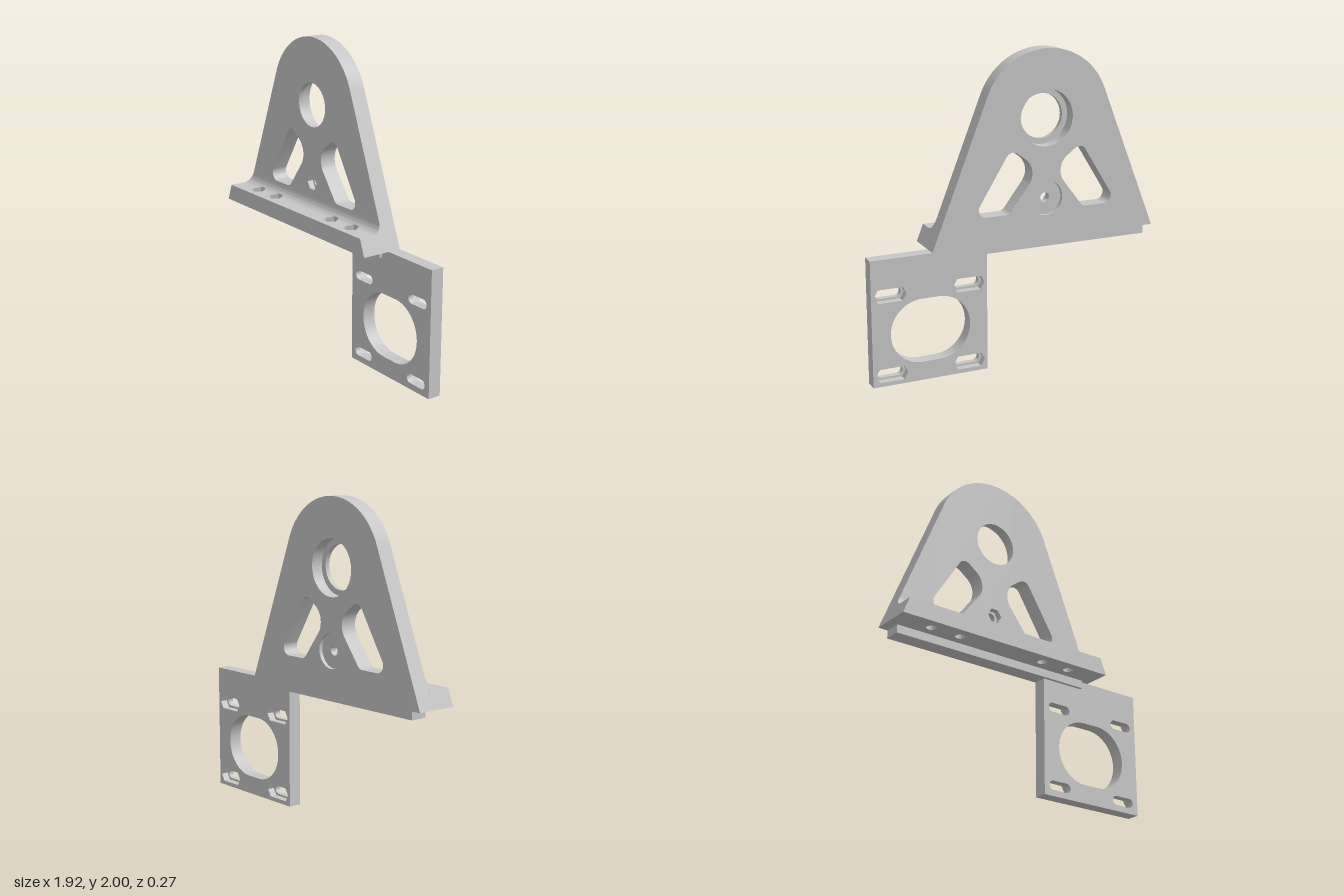
import * as THREE from 'three';
import { toCreasedNormals } from 'three/addons/utils/BufferGeometryUtils.js';

const BACK = -0.135, FRONT = 0.135, PLATE_FRONT = -0.028, MOTOR_FRONT = -0.049;
const BASE = 0.808, CX = -0.198, SLOPE = 0.391;
const leftX = y => -0.958 + (y - BASE) * SLOPE;
const rightX = y => 0.562 - (y - BASE) * SLOPE;
const vec = (x, y) => new THREE.Vector2(x, y);

// Collects faces and walls; `map` turns (x, y, height) into model space
function sheetBuilder(map = (x, y, h) => [x, y, h]) {
  const pos = [];
  const tri = (a, b, c) => pos.push(...a, ...b, ...c);
  const quad = (a, b, c, d, flip) => {
    if (flip) [b, d] = [d, b];
    tri(a, b, c); tri(a, c, d);
  };
  // Flat face with holes at height h, facing dir
  const face = (outer, holes, h, dir) => {
    const all = [outer, ...holes].flat();
    for (const [i, j, k] of THREE.ShapeUtils.triangulateShape(outer.slice(), holes.map(p => p.slice()))) {
      const s = THREE.ShapeUtils.area([all[i], all[j], all[k]]) * dir;
      const [a, b, c] = (s > 0 ? [i, j, k] : [i, k, j]).map(n => map(all[n].x, all[n].y, h));
      tri(a, b, c);
    }
  };
  // Wall along a counter-clockwise loop
  const wall = (pts, h0, h1, inward) => pts.forEach((p, i) => {
    const q = pts[(i + 1) % pts.length];
    quad(map(p.x, p.y, h0), map(q.x, q.y, h0), map(q.x, q.y, h1), map(p.x, p.y, h1), inward);
  });
  const build = () => {
    const g = new THREE.BufferGeometry();
    g.setAttribute('position', new THREE.Float32BufferAttribute(pos, 3));
    return toCreasedNormals(g, 0.5);
  };
  return { quad, face, wall, build };
}

// Circle, hexagon or slot, stretched by `half` along x
function slot(cx, cy, half, r, n) {
  return Array.from({ length: n }, (_, i) => {
    const a = (i + (n > 6 ? 0.5 : 0)) / n * Math.PI * 2, c = Math.cos(a);
    return vec(cx + r * c + Math.sign(c) * half, cy + r * Math.sin(a));
  });
}

// Polygon with a rounded corner at each [x, y, radius], counter-clockwise
function roundedPolygon(corners) {
  const v = corners.map(c => vec(c[0], c[1])), out = [], n = v.length;
  v.forEach((p, i) => {
    const r = corners[i][2];
    const u = v[(i + n - 1) % n].clone().sub(p).normalize();
    const w = v[(i + 1) % n].clone().sub(p).normalize();
    const half = Math.acos(u.dot(w)) / 2;
    const mid = u.clone().add(w).normalize().multiplyScalar(r / Math.sin(half)).add(p);
    const start = p.clone().addScaledVector(u, r / Math.tan(half)).sub(mid).angle();
    const sweep = Math.PI - 2 * half;
    for (let k = 0; k <= 10; k++) {
      const a = start + sweep * k / 10;
      out.push(vec(mid.x + r * Math.cos(a), mid.y + r * Math.sin(a)));
    }
  });
  return out;
}

// Plate whose holes may change outline at the depths given by their steps
function plate(outline, holes, z0, z1, drawFace = (b, loops, z, dir) => b.face(outline, loops, z, dir)) {
  const b = sheetBuilder();
  drawFace(b, holes.map(h => h.front), z1, 1);
  drawFace(b, holes.map(h => h.back ?? h.front), z0, -1);
  b.wall(outline, z0, z1, false);
  for (const { front, back = front, steps = [] } of holes) {
    let loop = back, z = z0;
    for (const [next, zn] of steps) {
      b.wall(loop, z, zn, true);
      const grows = THREE.ShapeUtils.area(next) > THREE.ShapeUtils.area(loop);
      if (grows) b.face(next, [loop], zn, 1);
      else b.face(loop, [next], zn, -1);
      loop = next; z = zn;
    }
    b.wall(loop, z, z1, true);
  }
  return b.build();
}

const mirror = pts => pts.map(p => vec(2 * CX - p.x, p.y)).reverse();

// Right half of a loop straddling the centre line, from top to bottom
function rightSide(loop) {
  const ys = loop.map(p => p.y);
  const half = loop.filter(p => p.x > CX + 1e-6).sort((p, q) => q.y - p.y);
  return [vec(CX, Math.max(...ys)), ...half, vec(CX, Math.min(...ys))];
}

function uprightGeometry() {
  const outline = [vec(leftX(BASE), BASE), vec(rightX(BASE), BASE)];
  const tilt = Math.atan(SLOPE);
  for (let i = 0; i <= 40; i++) {
    const a = tilt + (Math.PI - 2 * tilt) * i / 40;
    outline.push(vec(CX + 0.425 * Math.cos(a), 1.575 + 0.425 * Math.sin(a)));
  }
  const leftWindow = roundedPolygon([[-0.693, 0.988, 0.05], [-0.452, 0.988, 0.05], [-0.247, 1.258, 0.115], [-0.439, 1.399, 0.05]]);
  const rightWindow = mirror(leftWindow);
  const bore = slot(CX, 1.572, 0, 0.141, 64);
  const hex = slot(CX, 1.067, 0, 0.05, 6), pin = slot(CX, 1.067, 0, 0.03, 32);
  // Each face is made of two mirrored halves
  const drawFace = (b, [window, , ...centred], z, dir) => {
    const half = [...rightSide(outline).reverse(), ...centred.flatMap(rightSide)];
    b.face(half, [window], z, dir);
    b.face(mirror(half), [mirror(window)], z, dir);
  };
  return plate(outline, [
    { front: rightWindow }, { front: leftWindow },
    { front: bore, back: slot(CX, 1.572, 0, 0.177, 64), steps: [[bore, -0.057]] },
    { front: hex, back: slot(CX, 1.067, 0, 0.11, 48), steps: [[pin, -0.11], [hex, -0.068]] },
  ], BACK, PLATE_FRONT, drawFace);
}

function motorPlateGeometry() {
  const outline = [vec(0.205, 0), vec(0.958, 0), vec(0.958, BASE), vec(0.205, BASE)];
  const holes = [{ front: slot(0.58, 0.324, 0.054, 0.205, 64) }];
  for (const x of [0.326, 0.836]) for (const y of [0.069, 0.578]) {
    const front = slot(x, y, 0.053, 0.03, 32);
    holes.push({ front, back: slot(x, y, 0.053, 0.05, 6), steps: [[front, -0.087]] });
  }
  return plate(outline, holes, BACK, MOTOR_FRONT);
}

function footGeometry() {
  const top = 0.915, r = 0.07, zFillet = PLATE_FRONT + r, floor = 0.868;
  const hexZ = 0.052, hexR = 0.05, apothem = hexR * Math.sqrt(3) / 2;
  const centres = [-0.712, -0.507, 0.113, 0.318];
  const height = z => z >= zFillet ? top : top + r - Math.sqrt(Math.max(0, r * r - (zFillet - z) ** 2));
  const b = sheetBuilder((x, y, h) => [x, h, -y]);

  // Rows across the depth, closer together along the fillet
  const rows = [hexZ - apothem, hexZ, hexZ + apothem, FRONT];
  for (let i = 0; i <= 12; i++) rows.push(zFillet - r * Math.cos(i / 12 * Math.PI / 2));
  rows.sort((p, q) => p - q);

  // Strip standing between two depths, facing -x, or +x if flipped
  const side = (xAt, y0, za, zb, flip) => b.quad(
    [xAt(y0, za), y0, za], [xAt(y0, zb), y0, zb],
    [xAt(height(zb), zb), height(zb), zb], [xAt(height(za), za), height(za), za], flip);

  for (let i = 0; i + 1 < rows.length; i++) {
    const za = rows[i], zb = rows[i + 1], ya = height(za), yb = height(zb);
    const cut = Math.abs((za + zb) / 2 - hexZ) < apothem;
    const w = z => cut ? hexR - Math.abs(z - hexZ) / apothem * hexR / 2 : 0;
    // Top surface between the nut pockets
    for (let k = 0; k <= centres.length; k++) {
      const l = z => k ? centres[k - 1] + w(z) : leftX(height(z));
      const rt = z => k < centres.length ? centres[k] - w(z) : rightX(height(z));
      b.quad([l(za), ya, za], [l(zb), yb, zb], [rt(zb), yb, zb], [rt(za), ya, za]);
    }
    side(leftX, BASE, za, zb, false);
    side(rightX, BASE, za, zb, true);
    if (cut) for (const c of centres) {
      side((y, z) => c - w(z), floor, za, zb, true);
      side((y, z) => c + w(z), floor, za, zb, false);
    }
  }
  // Front face
  b.quad([leftX(BASE), BASE, FRONT], [rightX(BASE), BASE, FRONT], [rightX(top), top, FRONT], [leftX(top), top, FRONT]);
  // Nut pocket ends, floors and bolt holes
  const bolts = centres.map(c => slot(c, -hexZ, 0, 0.03, 32));
  centres.forEach((c, i) => {
    for (const s of [-1, 1]) {
      const z = hexZ + s * apothem, y = height(z), x0 = c - hexR / 2, x1 = c + hexR / 2;
      b.quad([x0, floor, z], [x1, floor, z], [x1, y, z], [x0, y, z], s > 0);
    }
    b.face(slot(c, -hexZ, 0, hexR, 6), [bolts[i]], floor, 1);
    b.wall(bolts[i], BASE, floor, true);
  });
  // Underside
  const l = leftX(BASE), rt = rightX(BASE);
  b.face([vec(l, -FRONT), vec(rt, -FRONT), vec(rt, -PLATE_FRONT), vec(l, -PLATE_FRONT)], bolts, BASE, -1);
  return b.build();
}

export function createModel() {
  const group = new THREE.Group();
  const grey = new THREE.MeshStandardMaterial({ color: 0xc6c6c6, side: THREE.DoubleSide });
  grey.name = 'machined grey';
  const add = (name, geometry) => {
    const mesh = new THREE.Mesh(geometry, grey);
    mesh.name = name;
    group.add(mesh);
  };
  const box = (x0, x1, y0, y1, z0, z1) => new THREE.BoxGeometry(x1 - x0, y1 - y0, z1 - z0)
    .translate((x0 + x1) / 2, (y0 + y1) / 2, (z0 + z1) / 2);

  add('uprightPlate', uprightGeometry());
  add('filletedFoot', footGeometry());
  add('motorPlate', motorPlateGeometry());
  // Locating tongue under the upright, stepping in front of the motor plate
  add('tongue', box(-0.895, 0.205, 0.756, BASE, BACK, PLATE_FRONT));
  add('tongueFront', box(0.205, 0.5, 0.756, BASE, MOTOR_FRONT, PLATE_FRONT));
  return group;
}
